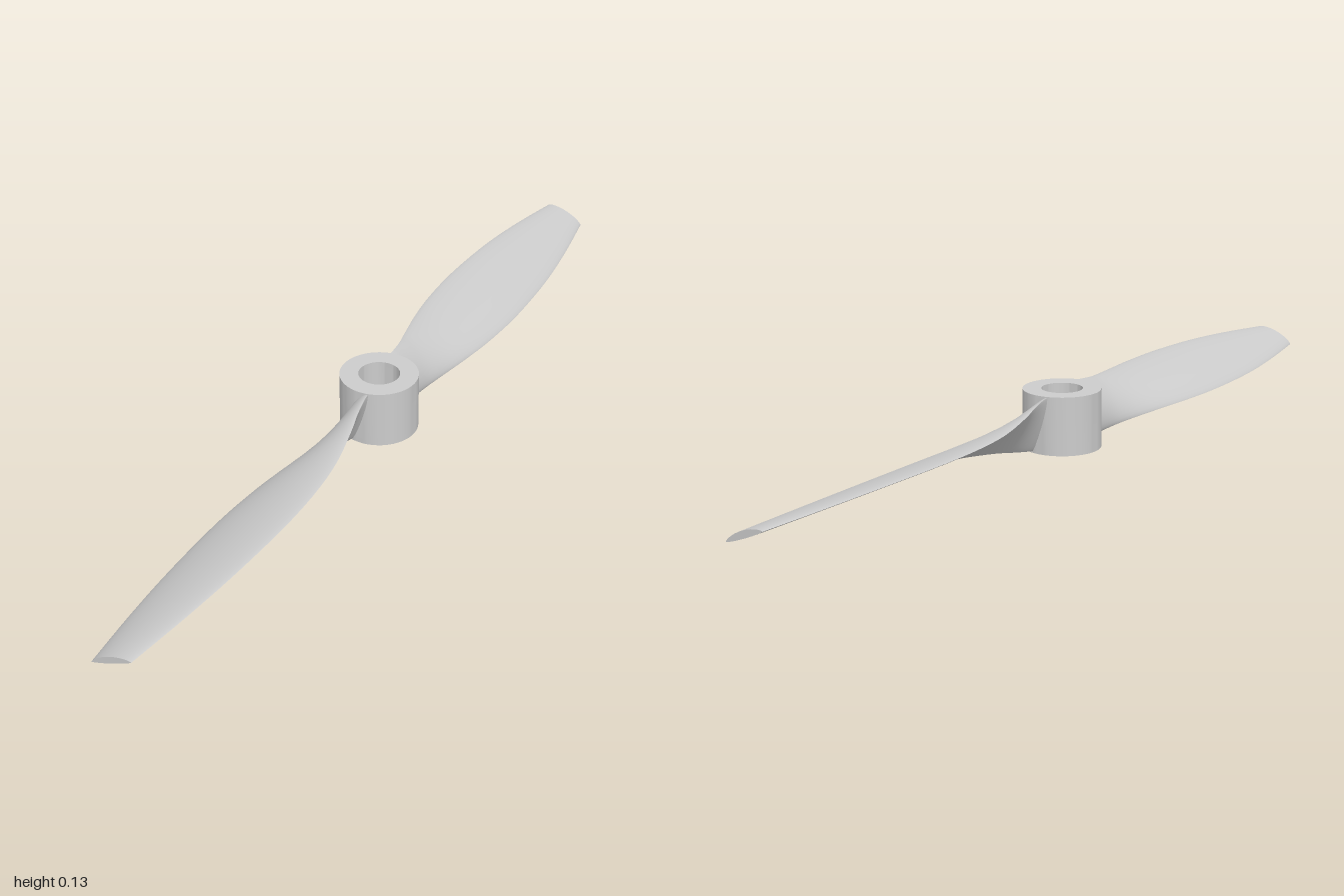
import * as THREE from 'three';
import { toCreasedNormals } from 'three/addons/utils/BufferGeometryUtils.js';

const HEIGHT = 0.132, MID = 0.0675;

// Stations along the blade: z, half chord in x, half chord in y, thickness
const STATIONS = [
  [0.065, 0.018, 0.064, 0.034],
  [0.1, 0.021, 0.0615, 0.032],
  [0.15, 0.031, 0.054, 0.03],
  [0.2, 0.045, 0.047, 0.028],
  [0.3, 0.069, 0.039, 0.025],
  [0.4, 0.083, 0.0365, 0.023],
  [0.53, 0.089, 0.0355, 0.021],
  [0.7, 0.083, 0.033, 0.019],
  [0.85, 0.068, 0.027, 0.017],
  [1.0, 0.046, 0.0185, 0.015],
];

// Smooth interpolation between stations
function stationAt(u) {
  const f = u * (STATIONS.length - 1);
  const i = Math.min(Math.floor(f), STATIONS.length - 2);
  const at = (k) => STATIONS[Math.max(0, Math.min(k, STATIONS.length - 1))];
  return STATIONS[i].map((_, c) => THREE.MathUtils.clamp(
    new THREE.CatmullRomCurve3([-1, 0, 1, 2].map((k) => new THREE.Vector3(k, at(i + k)[c], 0)), false, 'catmullrom', 0.5)
      .getPoint((1 + f - i) / 3).y, 0, 1));
}

// Twisted, tapering blade: a nearly flat underside and an arched upper side
function bladeGeometry() {
  const rings = 45, n = 14, positions = [], index = [];
  const section = (u, side) => {
    const [z, hx, hy, thick] = stationAt(u);
    const len = Math.hypot(hx, hy);
    const pts = [];
    for (let j = 0; j <= n; j++) {
      const a = (Math.PI * j) / n;
      const s = -Math.cos(a) * side;
      const bulge = side * thick * (side > 0 ? -0.2 : 0.8) * (side > 0 ? 1 : -1) * Math.sin(a) ** 1.4;
      const h = side > 0 ? bulge : Math.abs(bulge);
      pts.push([s * hx - (h * hy) / len, MID + s * hy + (h * hx) / len, z]);
    }
    return pts;
  };
  // Lower side, then upper side, kept apart so the edges stay sharp
  for (const side of [1, -1]) {
    const base = positions.length / 3;
    for (let i = 0; i <= rings; i++) section(i / rings, side).forEach((p) => positions.push(...p));
    for (let i = 0; i < rings; i++) {
      for (let j = 0; j < n; j++) {
        const a = base + i * (n + 1) + j, c = a + n + 1;
        index.push(a, a + 1, c, a + 1, c + 1, c);
      }
    }
  }
  // Flat tip cap
  const rim = [...section(1, 1), ...section(1, -1).slice(1, -1)];
  const base = positions.length / 3;
  rim.forEach((p) => positions.push(...p));
  positions.push(0, MID + 0.004, rim[0][2]);
  for (let j = 0; j < rim.length; j++) {
    index.push(base + rim.length, base + j, base + ((j + 1) % rim.length));
  }
  const geometry = new THREE.BufferGeometry();
  geometry.setAttribute('position', new THREE.Float32BufferAttribute(positions, 3));
  geometry.setIndex(index);
  geometry.computeVertexNormals();
  return geometry;
}

export function createModel() {
  const model = new THREE.Group();
  model.name = 'propeller';
  const material = new THREE.MeshStandardMaterial({ color: 0xcccccc });

  // Hub with a through bore
  const profile = [[0.046, 0], [0.0875, 0], [0.0875, HEIGHT], [0.046, HEIGHT], [0.046, 0]]
    .map(([r, y]) => new THREE.Vector2(r, y));
  const hub = new THREE.Mesh(toCreasedNormals(new THREE.LatheGeometry(profile, 64), 0.6), material);
  hub.name = 'hub';
  model.add(hub);

  // Two blades, half a turn apart
  const geometry = bladeGeometry();
  ['frontBlade', 'backBlade'].forEach((name, i) => {
    const blade = new THREE.Mesh(geometry, material);
    blade.name = name;
    blade.rotation.y = i * Math.PI;
    model.add(blade);
  });
  return model;
}
